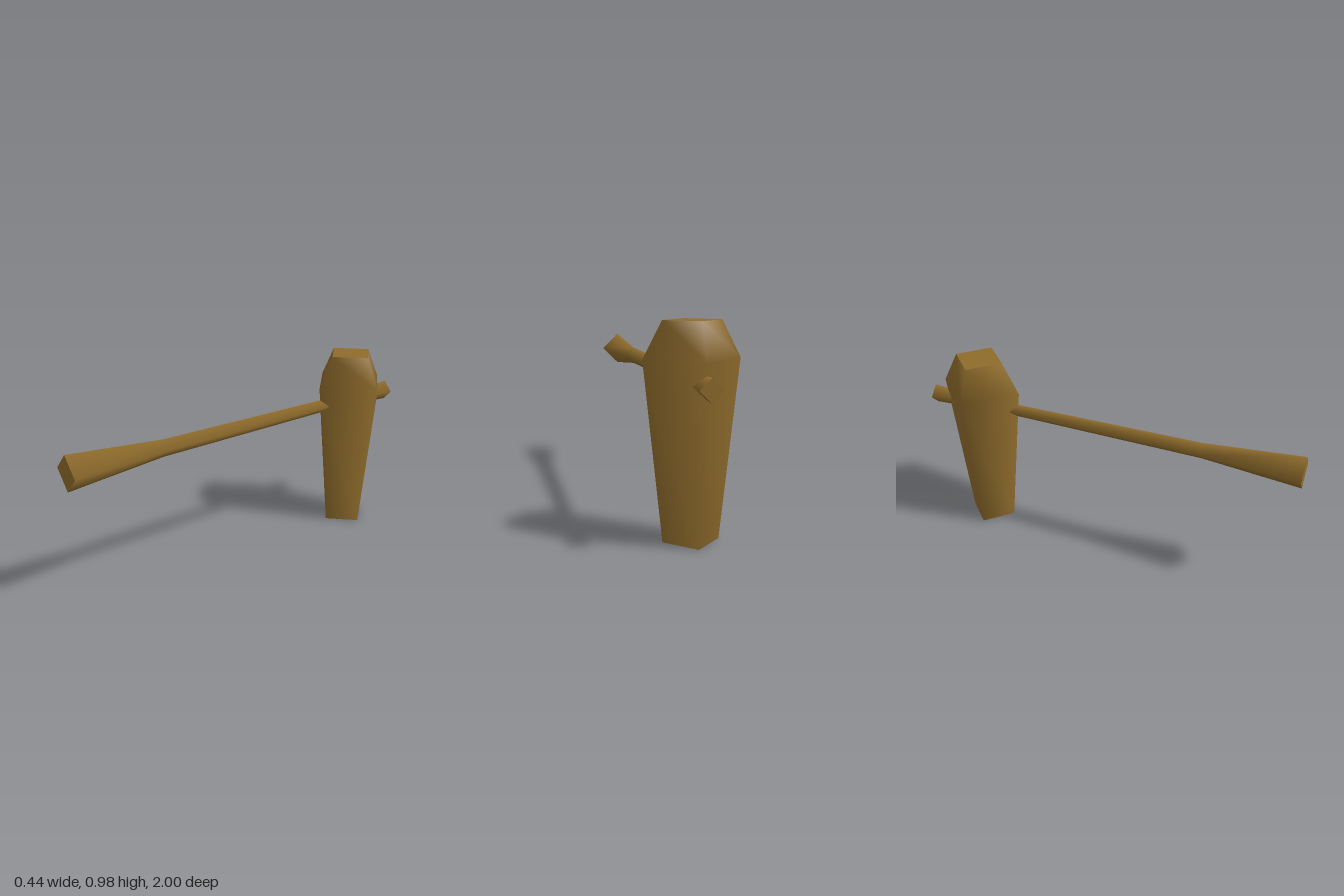
import * as THREE from 'three';

const wood = new THREE.MeshStandardMaterial({ color: 0x8f6c2c });
wood.name = 'wood brown';

// Four-sided turned bar with smooth sides and flat end caps; profile is [radius, height] from bottom to top
function diamondBar(name, profile) {
  const bar = new THREE.Group();
  bar.name = name;
  const sides = new THREE.Mesh(
    new THREE.LatheGeometry(profile.map(([r, h]) => new THREE.Vector2(r, h)), 4), wood);
  sides.name = name + 'Sides';
  bar.add(sides);
  const ends = [[profile[0], 1, 'Bottom'], [profile[profile.length - 1], -1, 'Top']];
  for (const [[r, h], turn, label] of ends) {
    const cap = new THREE.Mesh(new THREE.CircleGeometry(r, 4), wood);
    cap.rotation.x = turn * Math.PI / 2;
    cap.position.y = h;
    cap.name = name + label;
    bar.add(cap);
  }
  return bar;
}

export function createModel() {
  const model = new THREE.Group();
  model.name = 'mallet';

  // Upright head with a bevelled top
  const head = diamondBar('head', [[0.13, 0], [0.22, 0.815], [0.134, 0.98]]);
  head.position.z = -0.712;

  // Long handle through the head, flared at the grip and at the back stub
  const handle = diamondBar('handle', [[0.053, -1], [0.034, -0.68], [0.045, 0.5], [0.091, 1]]);
  handle.rotation.x = Math.PI / 2;
  handle.position.y = 0.714;

  model.add(head, handle);
  return model;
}
